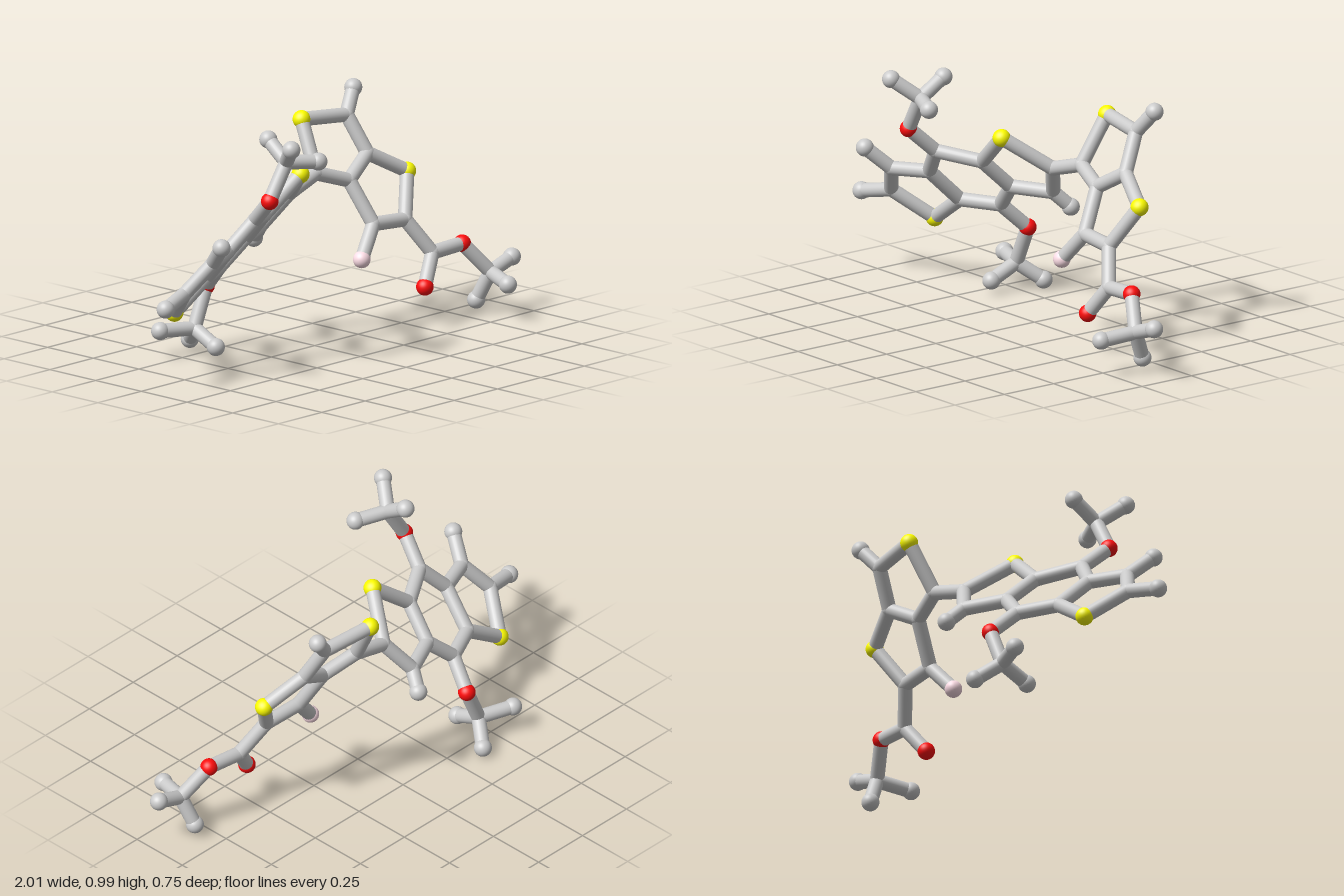
import * as THREE from 'three';

const BOND_R = 0.029, JOINT_R = 0.03, BALL_R = 0.036;
const UP = new THREE.Vector3(0, 1, 0);

const material = (color) => new THREE.MeshStandardMaterial({ color });
const grey = material(0xcccccc);

// Atom kinds: name, radius and material
const KINDS = {
  C: ['joint', JOINT_R, grey],
  E: ['endBall', BALL_R, grey],
  O: ['oxygen', 0.035, material(0xff0d0d)],
  S: ['sulfur', BALL_R, material(0xffff00)],
  F: ['fluorine', 0.035, material(0xffdfe8)],
};

// Atoms of each fragment: id (first letter is the kind) and position
const FRAGMENTS = {
  fusedTripleRing: {
    S1: [-0.73, 0.26, -0.075], C1: [-0.825, 0.38, 0.07], C2: [-0.735, 0.5, 0.14],
    C3: [-0.578, 0.51, 0.073], C4: [-0.556, 0.375, -0.065], C5: [-0.476, 0.625, 0.122],
    C6: [-0.31, 0.6, 0.018], C7: [-0.285, 0.48, -0.107], C8: [-0.395, 0.375, -0.144],
    S2: [-0.14, 0.74, 0.055], C9: [-0.027, 0.61, -0.115], C10: [-0.117, 0.48, -0.188],
    E1: [-0.97, 0.35, 0.105], E2: [-0.785, 0.59, 0.235], E3: [-0.085, 0.415, -0.252],
  },
  upperMethoxy: {
    O1: [-0.507, 0.73, 0.235], C11: [-0.42, 0.875, 0.243],
    E4: [-0.49, 0.955, 0.337], E5: [-0.41, 0.948, 0.135], E6: [-0.295, 0.865, 0.3],
  },
  lowerMethoxy: {
    O2: [-0.36, 0.27, -0.253], C12: [-0.43, 0.11, -0.25],
    E7: [-0.572, 0.115, -0.303], E8: [-0.435, 0.055, -0.128], E9: [-0.365, 0.038, -0.337],
  },
  fusedDoubleRing: {
    C13: [0.14, 0.66, -0.127], S3: [0.17, 0.857, -0.233], C14: [0.395, 0.84, -0.2],
    C15: [0.43, 0.69, -0.12], C16: [0.29, 0.61, -0.087], S4: [0.595, 0.597, -0.059],
    C17: [0.33, 0.44, 0.007], C18: [0.5, 0.43, 0.02],
    E10: [0.47, 0.932, -0.235], F1: [0.227, 0.32, 0.042],
  },
  methylEster: {
    C19: [0.585, 0.29, 0.088], O3: [0.5, 0.172, 0.128], O4: [0.745, 0.3, 0.1],
    C20: [0.845, 0.175, 0.16],
    E11: [0.966, 0.215, 0.162], E12: [0.82, 0.056, 0.105], E13: [0.8, 0.155, 0.298],
  },
};

// Bonds as chains of atom ids
const CHAINS = [
  'C4 S1 C1 C2 C3 C4 C8 C7 C6 C5 C3', 'C6 S2 C9 C10 C7', // three fused rings
  'C1 E1', 'C2 E2', 'C10 E3',
  'C5 O1 C11 E4', 'E5 C11 E6', // methoxy arms
  'C8 O2 C12 E7', 'E8 C12 E9',
  'C9 C13 S3 C14 C15 C16 C13', 'C15 S4 C18 C17 C16', // link and two fused rings
  'C14 E10', 'C17 F1',
  'C18 C19 O4 C20 E11', 'C19 O3', 'E12 C20 E13', // ester tail
];

export function createModel() {
  const model = new THREE.Group();
  model.name = 'molecule';
  const positions = {};

  // Balls and joints
  for (const [fragmentName, atoms] of Object.entries(FRAGMENTS)) {
    const fragment = new THREE.Group();
    fragment.name = fragmentName;
    for (const [id, p] of Object.entries(atoms)) {
      const [name, radius, mat] = KINDS[id[0]];
      const ball = new THREE.Mesh(new THREE.SphereGeometry(radius, 32, 20), mat);
      ball.name = name;
      ball.position.set(...p);
      positions[id] = ball.position;
      fragment.add(ball);
    }
    model.add(fragment);
  }

  // Rods between neighbouring atoms
  const bonds = new THREE.Group();
  bonds.name = 'bonds';
  for (const chain of CHAINS) {
    const points = chain.split(' ').map((id) => positions[id]);
    for (let i = 1; i < points.length; i++) {
      const along = points[i].clone().sub(points[i - 1]);
      const length = along.length();
      const rod = new THREE.Mesh(
        new THREE.CylinderGeometry(BOND_R, BOND_R, length, 24, 1, true), grey);
      rod.name = 'bond';
      rod.position.copy(points[i - 1]).addScaledVector(along, 0.5);
      rod.quaternion.setFromUnitVectors(UP, along.normalize());
      bonds.add(rod);
    }
  }
  model.add(bonds);
  return model;
}
